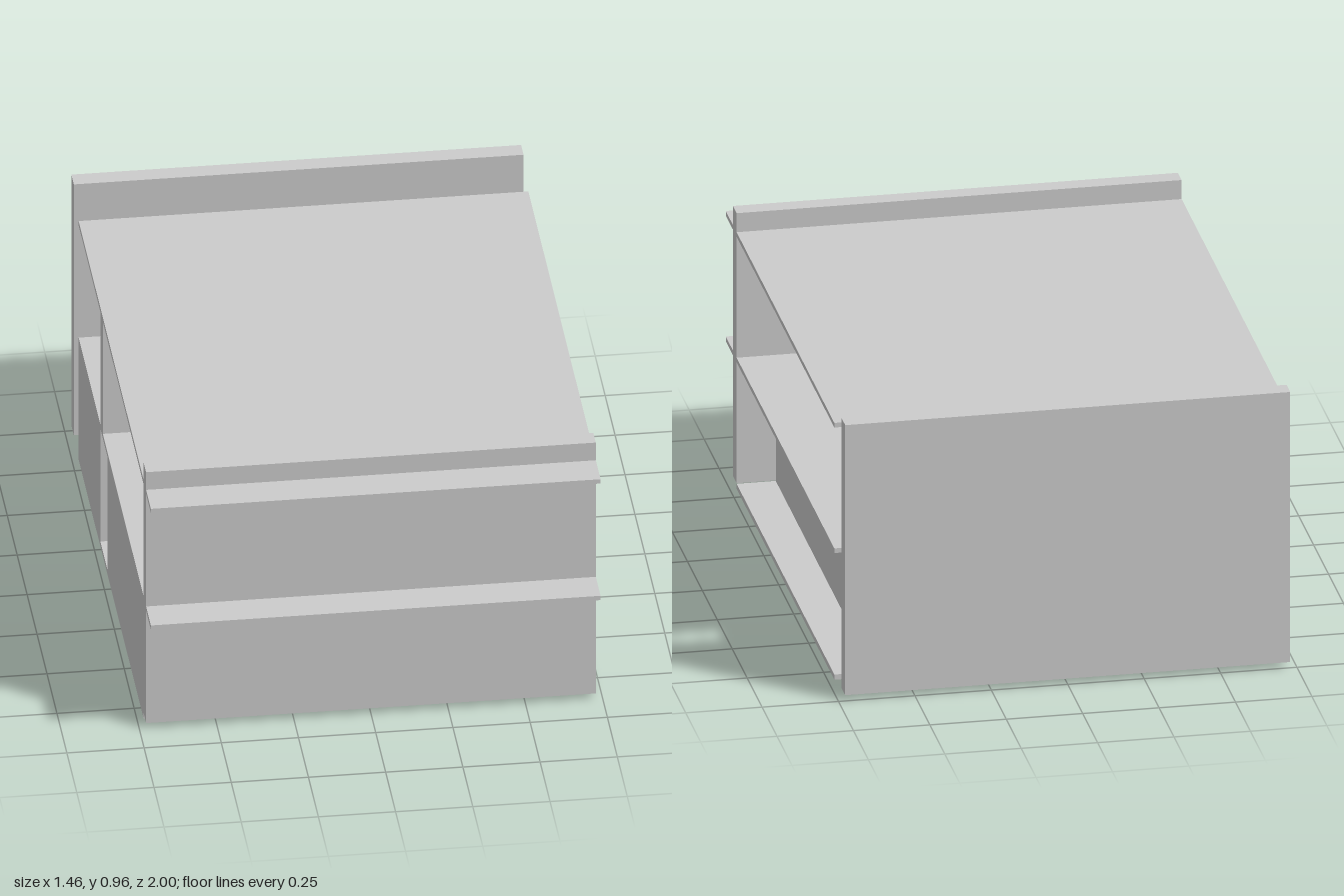
import * as THREE from 'three';

const material = new THREE.MeshStandardMaterial({ color: 0xcccccc, flatShading: true });

export function createModel() {
  const house = new THREE.Group();
  house.name = 'slabHouse';

  // Box given by its extents along each axis
  const panel = (name, [x0, x1], [y0, y1], [z0, z1]) => {
    const mesh = new THREE.Mesh(new THREE.BoxGeometry(x1 - x0, y1 - y0, z1 - z0), material);
    mesh.position.set((x0 + x1) / 2, (y0 + y1) / 2, (z0 + z1) / 2);
    mesh.name = name;
    house.add(mesh);
  };

  const width = [-0.728, 0.728];
  const lower = [0.018, 0.44];
  const upper = [0.456, 0.876];
  const fullHeight = [0.02, 0.958];

  // Horizontal slabs; the upper two run out through the front wall
  panel('groundSlab', width, [0, 0.018], [-0.818, 0.818]);
  panel('middleSlab', width, [0.44, 0.456], [-0.818, 1]);
  panel('roofSlab', width, [0.876, 0.892], [-0.818, 1]);

  // Tall end walls, the rear one standing free
  panel('frontWall', width, fullHeight, [0.818, 0.88]);
  panel('rearWall', width, fullHeight, [-1, -0.938]);

  // Ground floor side walls: one set in, one flush with a doorway
  panel('leftLowerWall', [0.54, 0.6], lower, [-0.818, 0.818]);
  panel('rightLowerWallFront', [-0.728, -0.668], lower, [-0.093, 0.818]);
  panel('rightLowerWallRear', [-0.728, -0.668], lower, [-0.818, -0.27]);

  // Upper floor partitions: a cross wall with a doorway and a lengthwise wall
  panel('upperCrossWallOuter', [-0.728, -0.54], upper, [-0.27, -0.21]);
  panel('upperCrossWallInner', [0.0, 0.12], upper, [-0.27, -0.21]);
  panel('upperLongWall', [-0.06, 0.0], upper, [-0.818, -0.093]);

  return house;
}
